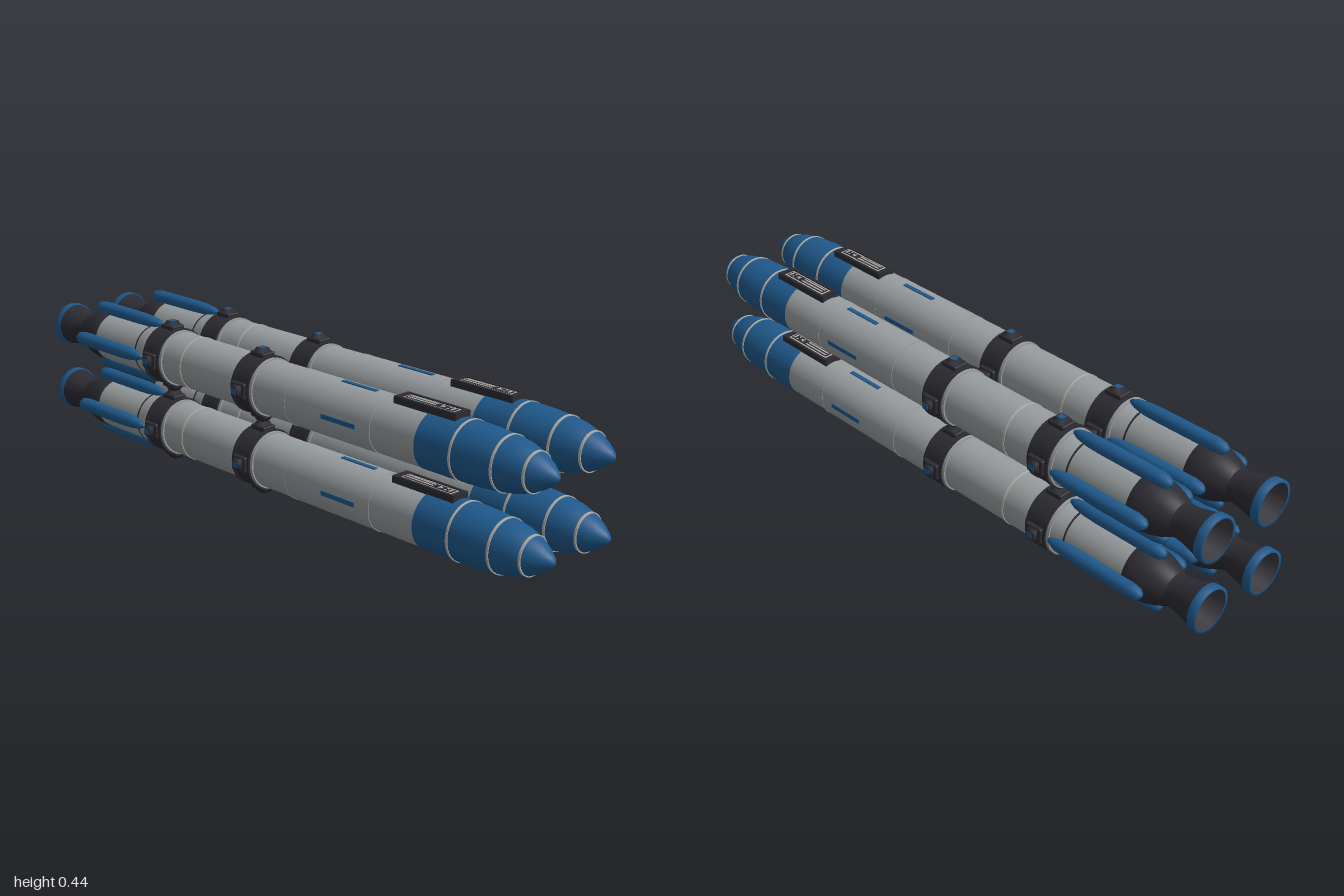
import * as THREE from 'three';
import { RoundedBoxGeometry } from 'three/addons/geometries/RoundedBoxGeometry.js';

const mat = (name, color, side = THREE.FrontSide) => {
  const m = new THREE.MeshStandardMaterial({ color, side });
  m.name = name;
  return m;
};

export function createModel() {
  const grey = mat('hull grey', 0x989d9f);
  const blue = mat('deep blue', 0x1f598c);
  const dark = mat('charcoal', 0x2c2b32);
  const trim = mat('pale trim', 0xb4b0a8);
  const inner = mat('nozzle lining', 0x3b3a40);

  const add = (parent, name, geo, material, x = 0, y = 0, z = 0) => {
    const mesh = new THREE.Mesh(geo, material);
    mesh.name = name;
    mesh.position.set(x, y, z);
    parent.add(mesh);
    return mesh;
  };
  const box = (parent, name, material, w, h, d, x, y, z) =>
    add(parent, name, new THREE.BoxGeometry(w, h, d), material, x, y, z);
  // Turned part along z, from [radius, z] pairs running back to front
  const turn = (parent, name, material, pts) => {
    const geo = new THREE.LatheGeometry(pts.map(([r, z]) => new THREE.Vector2(r, z)), 48);
    geo.rotateX(Math.PI / 2);
    return add(parent, name, geo, material);
  };
  // Straight ring with flat, closed edges
  const band = (parent, name, material, r, z0, z1) => {
    const geo = new THREE.CylinderGeometry(r, r, z1 - z0, 48);
    geo.rotateX(Math.PI / 2);
    return add(parent, name, geo, material, 0, 0, (z0 + z1) / 2);
  };

  const R = 0.081;
  const rocket = new THREE.Group();
  rocket.name = 'rocket';

  // Hull sections
  band(rocket, 'frontHull', grey, R - 0.001, 0.442, 0.605);
  band(rocket, 'middleHull', grey, R, 0.115, 0.438);
  band(rocket, 'rearHull', grey, R - 0.001, -0.52, 0.111);
  band(rocket, 'hullCore', dark, R - 0.003, -0.5, 0.59);
  turn(rocket, 'engineShoulder', grey, [[0.075, -0.565], [R, -0.52]]);
  band(rocket, 'engineHull', grey, 0.075, -0.766, -0.56);
  band(rocket, 'engineSeam', dark, 0.0765, -0.566, -0.561);
  for (const z of [-0.34, 0.113, 0.44]) {
    band(rocket, 'hullSeam', z < 0 ? trim : grey, R + 0.0008, z - 0.003, z + 0.003);
  }

  // Nose cone with pale bands
  turn(rocket, 'noseCone', blue, [
    [R, 0.6], [R, 0.7], [0.0805, 0.74], [0.0785, 0.79], [0.074, 0.845], [0.0665, 0.89],
    [0.053, 0.932], [0.035, 0.965], [0.016, 0.991], [0.006, 0.999], [0, 1],
  ]);
  for (const [r, z] of [[0.0825, 0.72], [0.0755, 0.848], [0.0545, 0.932]]) {
    band(rocket, 'noseBand', trim, r, z - 0.004, z + 0.003);
  }

  // Engine: tapered housing, bell, rim and lining
  turn(rocket, 'engineHousing', dark, [
    [0.047, -0.885], [0.054, -0.872], [0.064, -0.85], [0.073, -0.82], [0.0765, -0.79], [0.0765, -0.766], [0.07, -0.766],
  ]);
  turn(rocket, 'bell', dark, [[0.064, -0.98], [0.057, -0.955], [0.049, -0.92], [0.046, -0.9], [0.047, -0.885]]);
  turn(rocket, 'bellRim', blue, [[0.058, -1], [0.066, -1], [0.066, -0.977], [0.062, -0.977]]);
  turn(rocket, 'bellLining', inner, [[0, -0.885], [0.036, -0.89], [0.044, -0.92], [0.052, -0.96], [0.059, -1]].reverse()).material =
    inner;
  rocket.getObjectByName('bellLining').geometry = flipToInside(rocket.getObjectByName('bellLining').geometry);

  // Clamp collars with raised edges and pale flanges
  const collars = [-0.064, -0.472];
  for (const z of collars) {
    band(rocket, 'collar', dark, 0.0875, z - 0.037, z + 0.037);
    for (const s of [-1, 1]) {
      band(rocket, 'collarEdge', dark, 0.0895, z + s * 0.031 - 0.005, z + s * 0.031 + 0.005);
      band(rocket, 'collarFlange', grey, 0.0845, z + s * 0.042 - 0.005, z + s * 0.042 + 0.005);
    }
  }

  // Parts repeated on the four sides
  for (let i = 0; i < 4; i++) {
    const side = new THREE.Group();
    side.name = 'side';
    side.rotation.z = (i * Math.PI) / 2;
    rocket.add(side);

    // Slim pod with a tapered front
    const pod = new THREE.LatheGeometry([
      [0, -0.846], [0.01, -0.843], [0.017, -0.833], [0.021, -0.81], [0.021, -0.62],
      [0.019, -0.575], [0.014, -0.54], [0.007, -0.522], [0, -0.515],
    ].map(([r, z]) => new THREE.Vector2(r, z)), 20);
    pod.rotateX(Math.PI / 2);
    add(side, 'enginePod', pod, blue, 0, 0.0845, 0);

    box(side, 'hullStripe', blue, 0.013, 0.006, 0.127, 0, R - 0.0005, 0.327);

    // Lugs that lock neighbouring rockets together
    for (const z of collars) {
      add(side, 'lugBase', new RoundedBoxGeometry(0.046, 0.02, 0.056, 2, 0.004), dark, 0, 0.0875, z);
      const tip = new THREE.CylinderGeometry(0.018, 0.026, 0.012, 4);
      tip.rotateY(Math.PI / 4);
      add(side, 'lugTip', tip.toNonIndexed(), dark, 0, 0.1025, z);
      box(side, 'lugPlate', blue, 0.018, 0.002, 0.02, 0, 0.1081, z);
    }
  }

  // Equipment hatch on the upper side
  const hatch = new THREE.Group();
  hatch.name = 'hatch';
  hatch.position.set(0, 0.082, 0.585);
  rocket.add(hatch);
  box(hatch, 'hatchBase', dark, 0.056, 0.018, 0.214, 0, 0, 0);
  box(hatch, 'hatchPanel', trim, 0.034, 0.003, 0.176, 0, 0.0095, 0);
  box(hatch, 'hatchInset', dark, 0.024, 0.002, 0.166, 0, 0.0107, 0);
  for (const x of [-0.0055, 0.0055]) {
    box(hatch, 'hatchRail', trim, 0.005, 0.003, 0.095, x, 0.0115, -0.03);
  }
  const marker = new THREE.CylinderGeometry(0.009, 0.009, 0.002, 3);
  add(hatch, 'hatchMarker', marker, trim, 0, 0.0122, 0.04);
  for (const x of [-0.006, 0.006]) {
    add(hatch, 'hatchBolt', new THREE.CylinderGeometry(0.003, 0.003, 0.002, 10), trim, x, 0.0122, 0.06);
  }
  box(hatch, 'hatchBar', trim, 0.018, 0.002, 0.005, 0, 0.0122, 0.074);
  for (const s of [-1, 1]) {
    box(hatch, 'hatchRim', dark, 0.008, 0.004, 0.214, s * 0.023, 0.011, 0);
    box(hatch, 'hatchEnd', dark, 0.054, 0.004, 0.014, 0, 0.011, s * 0.099);
  }

  // Bundle of four
  const model = new THREE.Group();
  model.name = 'rocketBundle';
  for (const x of [-0.109, 0.109]) {
    for (const y of [0.109, 0.327]) {
      const copy = rocket.clone();
      copy.position.set(x, y, 0);
      model.add(copy);
    }
  }
  return model;
}

// Makes a turned surface face its own axis, whichever way it was drawn
function flipToInside(geo) {
  const p = geo.attributes.position;
  const idx = geo.index.array;
  const v = (i) => new THREE.Vector3().fromBufferAttribute(p, i);
  for (let i = 0; i < idx.length; i += 3) {
    const [a, b, c] = [v(idx[i]), v(idx[i + 1]), v(idx[i + 2])];
    const mid = a.clone().add(b).add(c).setZ(0);
    if (b.sub(a).cross(c.sub(a)).dot(mid) > 0) [idx[i], idx[i + 1]] = [idx[i + 1], idx[i]];
  }
  geo.computeVertexNormals();
  return geo;
}
